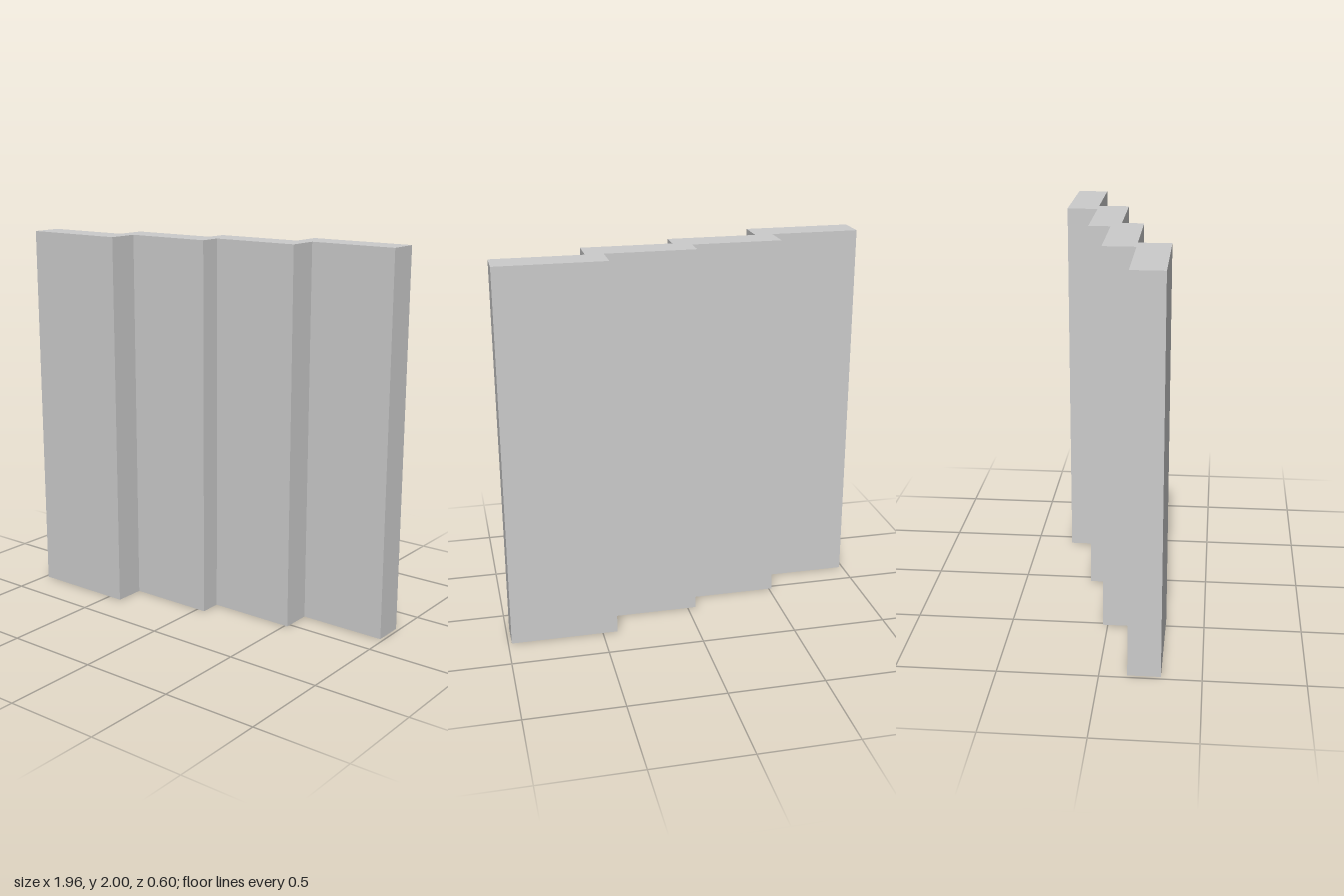
import * as THREE from 'three';

// Four staggered sliding panels, stepping back from right to left
export function createModel() {
  const group = new THREE.Group();
  group.name = 'slidingPanels';
  const material = new THREE.MeshStandardMaterial({ color: 0xcccccc, flatShading: true });
  const geometry = new THREE.BoxGeometry(0.56, 2, 0.163);

  // Panel centres [x, z]; the other half is the same turned about the y axis
  const centres = [[0.702, -0.2195], [0.235, -0.0565]];
  for (const side of [1, -1]) {
    centres.forEach(([x, z], i) => {
      const panel = new THREE.Mesh(geometry, material);
      panel.name = (side > 0 ? 'left' : 'right') + (i === 0 ? 'OuterPanel' : 'InnerPanel');
      panel.position.set(side * x, 1, side * z);
      group.add(panel);
    });
  }
  return group;
}
